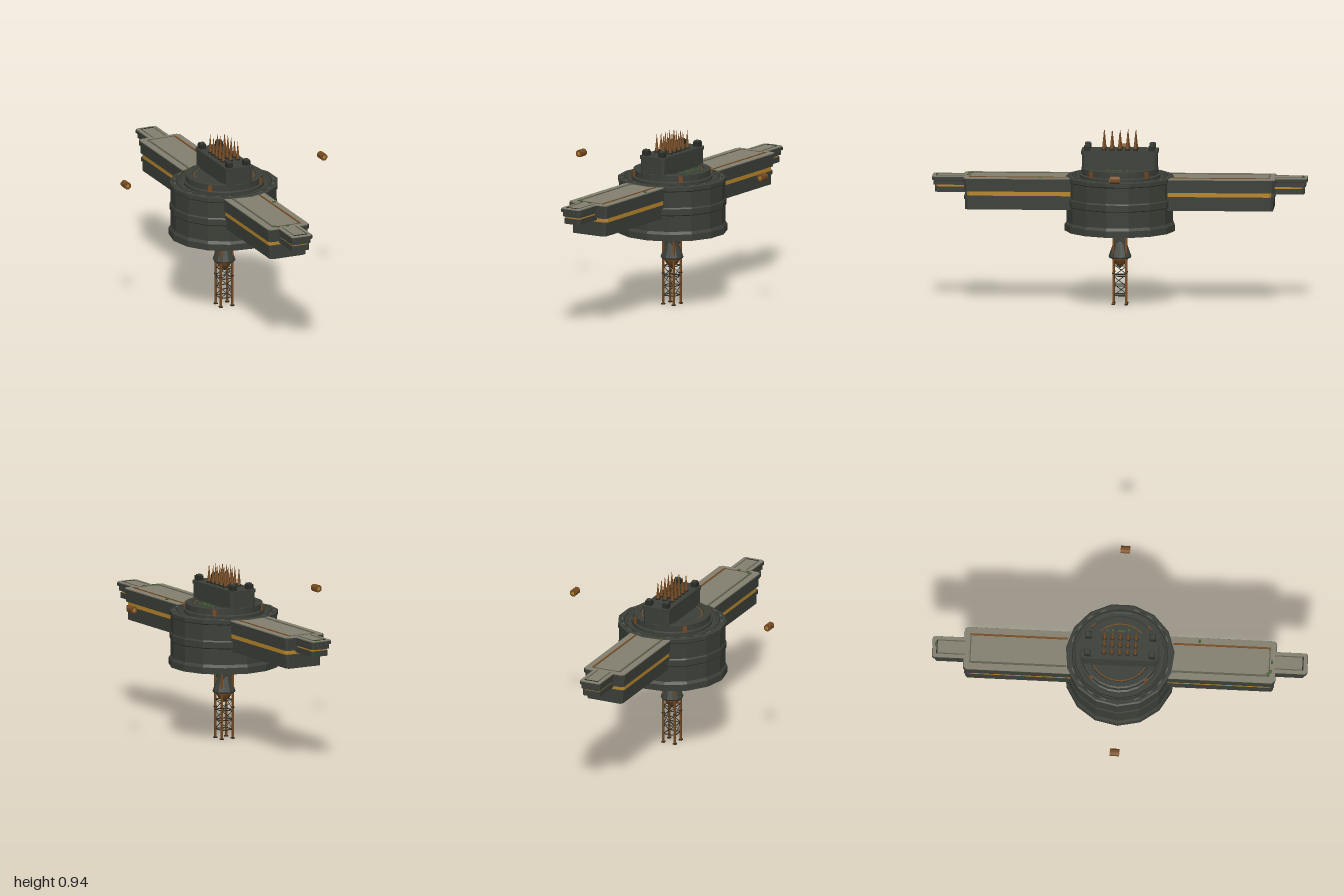
import * as THREE from 'three';

const mat = (name, color) => {
  const m = new THREE.MeshStandardMaterial({ color, flatShading: true });
  m.name = name;
  return m;
};

export function createModel() {
  const dark = mat('charcoal', 0x3c3f38);
  const shade = mat('deep charcoal', 0x2a2c27);
  const plate = mat('stone grey', 0x838070);
  const trim = mat('dull grey', 0x5f5d50);
  const copper = mat('copper', 0x754a22);
  const gold = mat('gold', 0xb8862a);
  const moss = mat('moss', 0x3f5f2a);
  const root = new THREE.Group();
  root.name = 'skyStation';

  const add = (parent, name, geo, m, x = 0, y = 0, z = 0) => {
    const mesh = new THREE.Mesh(geo, m);
    mesh.name = name;
    mesh.position.set(x, y, z);
    parent.add(mesh);
    return mesh;
  };
  const box = (p, name, m, w, h, d, x, y, z) => add(p, name, new THREE.BoxGeometry(w, h, d), m, x, y, z);
  const group = (name) => {
    const g = new THREE.Group();
    g.name = name;
    root.add(g);
    return g;
  };
  // Horizontal slab with clipped corners, from z0 to z1 and y0 to y1
  const slab = (p, name, m, hw, z0, z1, y0, y1, c = 0.012) => {
    const s = new THREE.Shape([
      [-hw + c, -z1], [hw - c, -z1], [hw, -z1 + c], [hw, -z0 - c],
      [hw - c, -z0], [-hw + c, -z0], [-hw, -z0 - c], [-hw, -z1 + c],
    ].map(([x, y]) => new THREE.Vector2(x, y)));
    const g = new THREE.ExtrudeGeometry(s, { depth: y1 - y0, bevelEnabled: false });
    g.rotateX(-Math.PI / 2);
    return add(p, name, g, m, 0, y0, 0);
  };
  const lathe = (p, name, m, pts, sides, start = 0) =>
    add(p, name, new THREE.LatheGeometry(pts.map(([r, y]) => new THREE.Vector2(r, y)), sides, start), m);
  // Square bar between two points
  const bar = (p, name, m, a, b, r) => {
    const A = new THREE.Vector3(...a), B = new THREE.Vector3(...b);
    const d = B.clone().sub(A);
    const mesh = add(p, name, new THREE.CylinderGeometry(r, r, d.length(), 6), m);
    mesh.position.copy(A).add(B).multiplyScalar(0.5);
    mesh.quaternion.setFromUnitVectors(new THREE.Vector3(0, 1, 0), d.normalize());
  };

  // Fifteen-sided drum with raised bands and a shallow dish on top
  const drum = group('drum');
  lathe(drum, 'drumHull', dark, [
    [0, 0.4], [0.295, 0.4], [0.295, 0.435], [0.285, 0.45], [0.285, 0.535], [0.29, 0.54],
    [0.29, 0.573], [0.285, 0.58], [0.285, 0.665], [0.291, 0.67], [0.291, 0.691], [0.283, 0.694],
    [0.247, 0.694], [0.24, 0.685], [0, 0.685],
  ], 15, -Math.PI / 2);
  lathe(drum, 'upperTier', dark, [
    [0.215, 0.684], [0.215, 0.7], [0.206, 0.705], [0.206, 0.738], [0.198, 0.741], [0.17, 0.741], [0.165, 0.732], [0, 0.732],
  ], 24);
  const flatRing = (name, m, r0, r1, y, a = 0, len = Math.PI * 2) => {
    const g = new THREE.RingGeometry(r0, r1, len > 3 ? 40 : 3, 1, a, len);
    g.rotateX(-Math.PI / 2);
    add(drum, name, g, m, 0, y, 0);
  };
  flatRing('copperRing', copper, 0.157, 0.163, 0.734);
  flatRing('rimGroove', shade, 0.25, 0.256, 0.6955);
  for (let q = 0; q < 4; q++) {
    for (let i = -3; i <= 3; i++) {
      flatRing('rimDash', i % 2 ? trim : shade, 0.262, 0.268, 0.6955, Math.PI / 4 + q * Math.PI / 2 + i * 0.15, 0.1);
    }
    // Copper clamps on the diagonals
    const a = Math.PI / 4 + q * Math.PI / 2;
    const clamp = box(drum, 'clamp', copper, 0.022, 0.034, 0.016, Math.sin(a) * 0.205, 0.717, Math.cos(a) * 0.205);
    clamp.rotation.y = a;
  }

  // Spiked block on top of the drum
  const crown = group('crown');
  slab(crown, 'crownBlock', dark, 0.075, -0.2, 0.2, 0.73, 0.815);
  slab(crown, 'crownLid', dark, 0.079, -0.204, 0.204, 0.815, 0.833);
  for (const x of [-0.05, 0.05]) for (const z of [-0.172, 0.172]) {
    box(crown, 'cornerStud', shade, 0.034, 0.026, 0.034, x, 0.845, z);
    box(crown, 'studCap', dark, 0.026, 0.008, 0.026, x, 0.861, z);
  }
  for (let i = -1; i <= 1; i++) for (let j = -2; j <= 2; j++) {
    add(crown, 'spike', new THREE.ConeGeometry(0.011, 0.106, 6), copper, i * 0.042, 0.884, j * 0.042);
    add(crown, 'spikeCollar', new THREE.CylinderGeometry(0.013, 0.013, 0.01, 6), shade, i * 0.042, 0.837, j * 0.042);
  }

  // Two long arms: stacked slabs with a gold strip between
  for (const s of [1, -1]) {
    const arm = group(s > 0 ? 'frontArm' : 'backArm');
    if (s < 0) arm.rotation.y = Math.PI;
    slab(arm, 'lowerBeam', dark, 0.105, 0.2, 0.82, 0.52, 0.575);
    slab(arm, 'lowerBeamLip', dark, 0.112, 0.2, 0.825, 0.575, 0.595);
    slab(arm, 'goldStrip', gold, 0.11, 0.2, 0.81, 0.595, 0.618);
    slab(arm, 'upperBeam', dark, 0.114, 0.2, 0.825, 0.618, 0.665);
    slab(arm, 'upperLip', dark, 0.121, 0.245, 0.832, 0.665, 0.686, 0.015);
    slab(arm, 'deckPlate', plate, 0.119, 0.25, 0.83, 0.686, 0.691, 0.015);
    // Stepped tip
    slab(arm, 'tipBottom', dark, 0.05, 0.8, 0.985, 0.605, 0.634, 0.01);
    slab(arm, 'tipGold', gold, 0.046, 0.8, 0.975, 0.634, 0.644, 0.01);
    slab(arm, 'tipMiddle', dark, 0.054, 0.8, 0.992, 0.644, 0.666, 0.01);
    slab(arm, 'tipLip', dark, 0.061, 0.8, 1, 0.67, 0.686, 0.01);
    slab(arm, 'tipCore', shade, 0.048, 0.8, 0.985, 0.664, 0.672, 0.01);
    slab(arm, 'tipPlate', plate, 0.059, 0.82, 0.998, 0.686, 0.691, 0.01);
    // Deck rails and panel outlines
    box(arm, 'copperRail', copper, 0.01, 0.004, 0.52, s * 0.078, 0.692, 0.54);
    box(arm, 'greyRail', trim, 0.01, 0.004, 0.52, -s * 0.078, 0.692, 0.54);
    box(arm, 'panelEnd', trim, 0.16, 0.003, 0.006, 0, 0.692, 0.797);
    for (const x of [-0.037, 0.037]) box(arm, 'tipLine', trim, 0.005, 0.003, 0.15, x, 0.692, 0.9);
    box(arm, 'tipEndLine', shade, 0.079, 0.003, 0.006, 0, 0.692, 0.975);
  }

  // Stem, flared skirt and copper bulb under the drum
  const stem = group('stem');
  box(stem, 'neck', dark, 0.062, 0.08, 0.062, 0, 0.365, 0);
  lathe(stem, 'skirt', dark, [[0, 0.34], [0, 0.255], [0.057, 0.25], [0.061, 0.258], [0.034, 0.335], [0.03, 0.342], [0, 0.342]].slice(1), 12);
  lathe(stem, 'bulb', copper, [[0, 0.197], [0.014, 0.207], [0.03, 0.22], [0.042, 0.24], [0.045, 0.254]], 10);
  lathe(stem, 'bulbTip', shade, [[0, 0.194], [0.009, 0.202], [0.013, 0.212], [0, 0.212]], 8);

  // Four-legged lattice mast
  const mast = group('mast');
  const c = 0.034;
  const corners = [[c, c], [c, -c], [-c, -c], [-c, c]];
  corners.forEach(([x, z], i) => {
    const [u, w] = corners[(i + 1) % 4];
    box(mast, 'leg', copper, 0.01, 0.395, 0.01, x, 0.2025, z);
    box(mast, 'foot', shade, 0.018, 0.006, 0.018, x, 0.003, z);
    box(mast, 'legJoint', shade, 0.014, 0.006, 0.014, x, 0.17, z);
    [0.05, 0.102, 0.155, 0.21].forEach((y, k) => {
      bar(mast, 'rung', shade, [x, y, z], [u, y, w], 0.003);
      if (k < 3) bar(mast, 'brace', shade, k % 2 ? [u, y, w] : [x, y, z], k % 2 ? [x, y + 0.053, z] : [u, y + 0.053, w], 0.002);
    });
  });

  // Floating copper beacons on both sides
  for (const s of [1, -1]) {
    const beacon = group(s > 0 ? 'leftBeacon' : 'rightBeacon');
    const g = new THREE.CylinderGeometry(0.02, 0.02, 0.05, 8, 1, false, Math.PI / 8);
    g.rotateX(Math.PI / 2);
    add(beacon, 'beaconBody', g, copper, s * 0.575, 0.755, 0);
    for (const f of [1, -1]) box(beacon, 'beaconFace', gold, 0.014, 0.016, 0.002, s * 0.575, 0.755, f * 0.0255);
  }

  // Scattered moss patches
  let seed = 7;
  const rnd = () => (seed = (seed * 16807) % 2147483647) / 2147483647;
  const growth = group('moss');
  for (let i = 0; i < 12; i++) {
    box(growth, 'mossPatch', moss, 0.012, 0.004, 0.012, 0.09 + rnd() * 0.04, 0.734, -0.08 + rnd() * 0.15);
  }
  for (const [x, z] of [[-0.07, 0.79], [-0.055, 0.805], [0, 0.81], [0.1, 0.42], [0.015, -0.98]]) {
    box(growth, 'mossPatch', moss, 0.018, 0.004, 0.012, x, 0.693, z);
  }
  return root;
}
